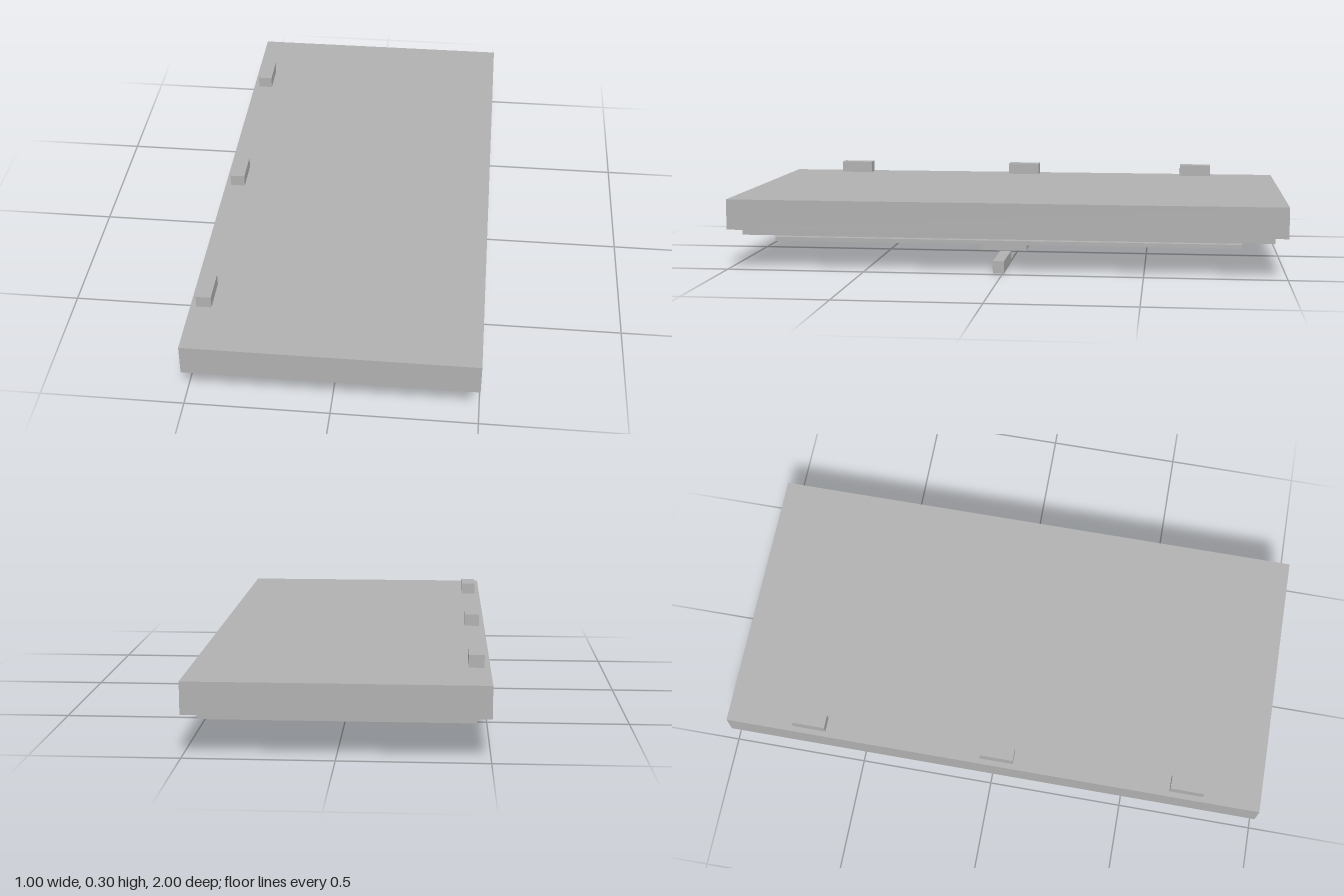
import * as THREE from 'three';

export function createModel() {
  const door = new THREE.Group();
  door.name = 'door';
  const grey = new THREE.MeshStandardMaterial({ color: 0xb0b0b0 });
  grey.name = 'grey';
  grey.side = THREE.DoubleSide;

  // Box given by its lower and upper corners
  function box(name, [x0, y0, z0], [x1, y1, z1]) {
    const mesh = new THREE.Mesh(new THREE.BoxGeometry(x1 - x0, y1 - y0, z1 - z0), grey);
    mesh.position.set((x0 + x1) / 2, (y0 + y1) / 2, (z0 + z1) / 2);
    mesh.name = name;
    door.add(mesh);
  }

  // Slab and the stepped layers under it
  box('slab', [-0.5, 0.145, -1], [0.5, 0.255, 1]);
  box('outerStep', [-0.453, 0.12, -0.957], [0.453, 0.145, 0.957]);
  box('middleStep', [-0.405, 0.112, -0.87], [0.405, 0.12, 0.87]);
  box('panel', [-0.377, 0.105, -0.81], [0.377, 0.112, 0.81]);

  // Thin trim frame around the panel
  const rect = (shape, x0, x1, z) => {
    shape.moveTo(x0, -z);
    shape.lineTo(x1, -z);
    shape.lineTo(x1, z);
    shape.lineTo(x0, z);
    shape.closePath();
    return shape;
  };
  const outline = rect(new THREE.Shape(), -0.405, 0.413, 0.845);
  outline.holes.push(rect(new THREE.Path(), -0.377, 0.385, 0.815));
  const frameGeometry = new THREE.ExtrudeGeometry(outline, { depth: 0.015, bevelEnabled: false });
  frameGeometry.rotateX(-Math.PI / 2);
  const frame = new THREE.Mesh(frameGeometry, grey);
  frame.position.y = 0.093;
  frame.name = 'trimFrame';
  door.add(frame);

  // Hinges along the right edge
  for (const z of [-0.688, 0.02, 0.728]) {
    box('hinge', [-0.48, 0.255, z - 0.062], [-0.427, 0.298, z + 0.062]);
  }

  // Handle plate and lever
  box('handlePlate', [0.225, 0.06, -0.07], [0.337, 0.093, 0.095]);
  box('handleLever', [0.265, 0, -0.005], [0.48, 0.045, 0.035]);

  // Open peephole ring
  const ringGeometry = new THREE.CylinderGeometry(0.02, 0.02, 0.01, 24, 1, true);
  ringGeometry.rotateX(Math.PI / 2);
  const ring = new THREE.Mesh(ringGeometry, grey);
  ring.position.set(0, 0.073, 0.547);
  ring.name = 'peepholeRing';
  door.add(ring);

  return door;
}
